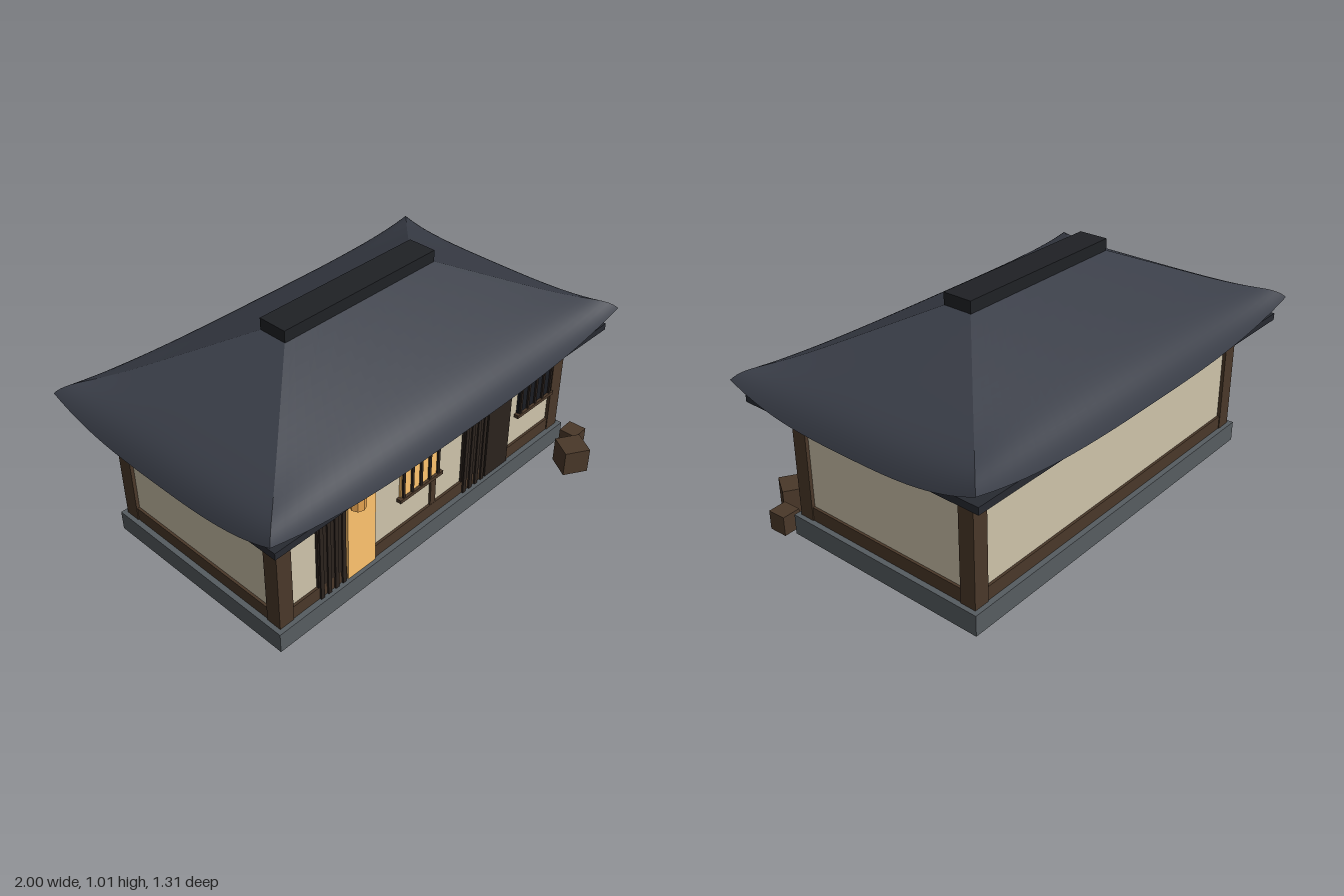
import * as THREE from 'three';

const mat = (color, extra = {}) => new THREE.MeshStandardMaterial({ color, ...extra });
const M = {
  stone: mat(0x565c60),
  timber: mat(0x4a3829),
  plaster: mat(0xcec3aa),
  darkWood: mat(0x2b221d),
  darkPane: mat(0x191b21),
  lit: mat(0xffc46e),
  lantern: mat(0xe8a552, { flatShading: true }),
  roof: mat(0x383c46, { side: THREE.DoubleSide }),
  ridge: mat(0x1f2125),
  eave: mat(0x272a31),
};

function add(parent, name, geometry, material, x = 0, y = 0, z = 0) {
  const mesh = new THREE.Mesh(geometry, material);
  mesh.name = name;
  mesh.position.set(x, y, z);
  parent.add(mesh);
  return mesh;
}

// Box given by its minimum and maximum on each axis
function box(parent, name, material, x0, x1, y0, y1, z0, z1) {
  return add(parent, name, new THREE.BoxGeometry(x1 - x0, y1 - y0, z1 - z0), material,
    (x0 + x1) / 2, (y0 + y1) / 2, (z0 + z1) / 2);
}

function group(parent, name) {
  const g = new THREE.Group();
  g.name = name;
  parent.add(g);
  return g;
}

// One slope of the hipped roof, rolling over steeply at the eave with lifted corners.
// ox, oz is the outward direction.
function roofSlope(ox, oz) {
  const geo = new THREE.PlaneGeometry(2, 1, 32, 20);
  const p = geo.attributes.position;
  for (let i = 0; i < p.count; i++) {
    const s = p.getX(i);
    const u = 1 - (0.5 + p.getY(i)) ** 1.8; // 0 at the ridge, 1 at the eave, denser at the eave
    const hx = THREE.MathUtils.lerp(0.415, 1, u);
    const hz = THREE.MathUtils.lerp(0.065, 0.605, u);
    const y = 0.955 - 0.26 * u - 0.085 * u ** 14 + 0.09 * u ** 8 * Math.abs(s) ** 3;
    p.setXYZ(i, ox * hx + oz * s * hx, y, oz * hz - ox * s * hz);
  }
  geo.computeVertexNormals();
  return geo;
}

// Evenly spaced upright bars between x0 and x1
function bars(parent, count, x0, x1, y0, y1, z0, z1, w) {
  for (let i = 0; i < count; i++) {
    const x = x0 + ((x1 - x0) * i) / (count - 1);
    box(parent, 'bar', M.darkWood, x - w / 2, x + w / 2, y0, y1, z0, z1);
  }
}

// Sliding door pair: slatted left leaf, plain right leaf, lintel on top
function door(parent, name, x, leafMaterial) {
  const g = group(parent, name);
  g.position.x = x;
  box(g, 'lintel', M.timber, -0.175, 0.175, 0.465, 0.49, 0.44, 0.468);
  box(g, 'slattedLeaf', M.darkWood, -0.15, -0.005, 0.15, 0.465, 0.44, 0.458);
  bars(g, 4, -0.135, -0.018, 0.09, 0.465, 0.45, 0.464, 0.018);
  box(g, 'plainLeaf', leafMaterial, 0.003, 0.153, 0.09, 0.465, 0.44, 0.463);
  box(g, 'stud', M.timber, 0.071, 0.101, 0.49, 0.55, 0.44, 0.458);
}

// Barred window with a rail above and below
function barredWindow(parent, name, x, paneMaterial) {
  const g = group(parent, name);
  g.position.x = x;
  box(g, 'pane', paneMaterial, -0.113, 0.113, 0.305, 0.5, 0.44, 0.456);
  for (const y of [0.29, 0.495]) box(g, 'rail', M.timber, -0.127, 0.127, y, y + 0.016, 0.44, 0.468);
  bars(g, 5, -0.103, 0.103, 0.305, 0.495, 0.452, 0.464, 0.012);
}

export function createModel() {
  const model = new THREE.Group();
  model.name = 'house';
  const house = group(model, 'building');
  house.position.z = -0.05;

  // Base and walls
  box(house, 'foundation', M.stone, -0.875, 0.875, 0, 0.09, -0.48, 0.48);
  box(house, 'plasterWalls', M.plaster, -0.84, 0.84, 0.09, 0.6, -0.445, 0.445);

  // Timber frame
  const frame = group(house, 'timberFrame');
  for (const sx of [-1, 1]) {
    for (const sz of [-1, 1]) {
      add(frame, 'cornerPost', new THREE.BoxGeometry(0.07, 0.51, 0.07), M.timber, sx * 0.82, 0.345, sz * 0.425);
    }
  }
  for (const [y, h] of [[0.12, 0.06], [0.575, 0.05]]) {
    for (const s of [-1, 1]) {
      add(frame, 'longBeam', new THREE.BoxGeometry(1.6, h, 0.05), M.timber, 0, y, s * 0.431);
      add(frame, 'shortBeam', new THREE.BoxGeometry(0.05, h, 0.8), M.timber, s * 0.826, y, 0);
    }
  }
  box(frame, 'middleStud', M.timber, -0.015, 0.015, 0.15, 0.55, 0.43, 0.455);

  // Doors and windows on the front
  door(house, 'litDoor', -0.503, M.lit);
  door(house, 'darkDoor', 0.332, M.darkWood);
  barredWindow(house, 'litWindow', -0.085, M.lit);
  barredWindow(house, 'darkWindow', 0.665, M.darkPane);

  // Roof
  const roof = group(house, 'roof');
  box(roof, 'eaveSlab', M.eave, -0.96, 0.96, 0.6, 0.63, -0.58, 0.58);
  for (const [ox, oz] of [[0, 1], [1, 0], [0, -1], [-1, 0]]) add(roof, 'roofSlope', roofSlope(ox, oz), M.roof);
  box(roof, 'ridgeCap', M.ridge, -0.415, 0.415, 0.95, 1.006, -0.066, 0.066);

  // Hanging lantern
  const lantern = group(model, 'lantern');
  lantern.position.set(-0.5, 0.526, 0.463);
  add(lantern, 'lanternBody', new THREE.CylinderGeometry(0.033, 0.033, 0.06, 8), M.lantern);
  for (const s of [-1, 1]) {
    add(lantern, 'lanternCap', new THREE.CylinderGeometry(0.014, 0.014, 0.012, 8), M.darkWood, 0, s * 0.036, 0);
  }

  // Crates beside the front corner
  add(model, 'largeCrate', new THREE.BoxGeometry(0.115, 0.118, 0.115), M.timber, 0.748, 0.059, 0.577).rotation.y = -0.54;
  add(model, 'smallCrate', new THREE.BoxGeometry(0.083, 0.086, 0.083), M.timber, 0.875, 0.043, 0.493).rotation.y = 0.04;

  return model;
}
